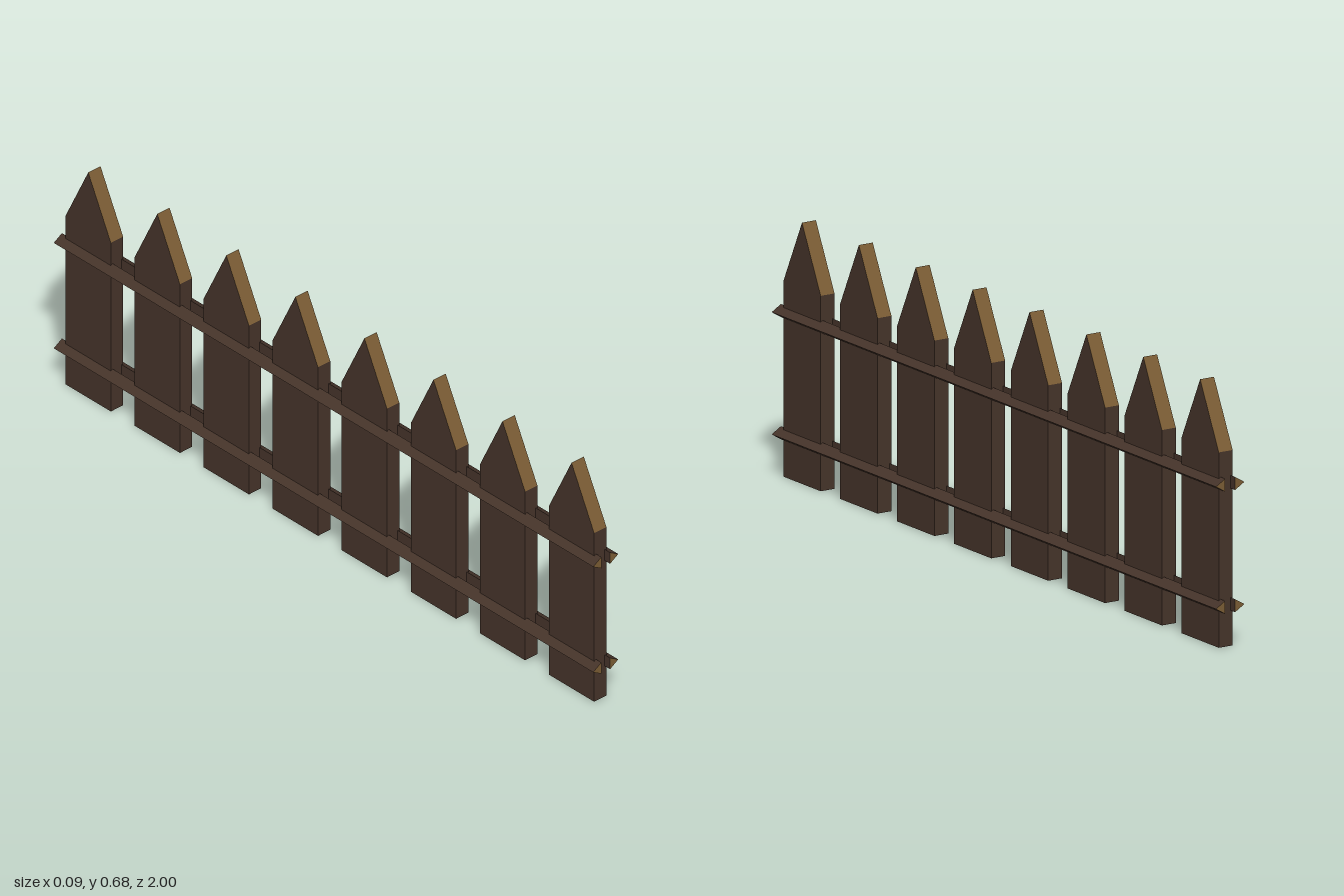
import * as THREE from 'three';

const darkWood = new THREE.MeshStandardMaterial({ color: 0x46342a });
darkWood.name = 'dark wood';
const cutWood = new THREE.MeshStandardMaterial({ color: 0x7a5c34 });
cutWood.name = 'light cut wood';

const COUNT = 8, SPACING = 0.256;
const WIDTH = 0.168, THICK = 0.042, SHOULDER = 0.51, HEIGHT = 0.682;

function prism(points, depth) {
  const shape = new THREE.Shape(points.map(([x, y]) => new THREE.Vector2(x, y)));
  const geometry = new THREE.ExtrudeGeometry(shape, { depth, bevelEnabled: false });
  return geometry.translate(0, 0, -depth / 2);
}

// Pointed plank: the two sloping cuts are lighter than the rest
function plankGeometry() {
  const w = WIDTH / 2;
  const geometry = prism([[-w, 0], [w, 0], [w, SHOULDER], [0, HEIGHT], [-w, SHOULDER]], THICK);
  geometry.rotateY(Math.PI / 2);
  geometry.clearGroups();
  const normal = geometry.attributes.normal;
  for (let i = 0; i < normal.count; i += 3) {
    geometry.addGroup(i, 3, normal.getY(i) > 0.1 ? 1 : 0);
  }
  return geometry;
}

export function createModel() {
  const fence = new THREE.Group();
  fence.name = 'picketFence';

  // Row of planks
  const plank = plankGeometry();
  for (let i = 0; i < COUNT; i++) {
    const mesh = new THREE.Mesh(plank, [darkWood, cutWood]);
    mesh.name = `plank${i + 1}`;
    mesh.position.z = (i - (COUNT - 1) / 2) * SPACING;
    fence.add(mesh);
  }

  // Triangular rails on both faces, with light cut ends
  for (const [side, label] of [[1, 'left'], [-1, 'right']]) {
    const rail = prism([[side * 0.015, -0.017], [side * 0.043, 0], [side * 0.015, 0.017]], 2);
    for (const [y, level] of [[0.109, 'Lower'], [0.428, 'Upper']]) {
      const mesh = new THREE.Mesh(rail, [cutWood, darkWood]);
      mesh.name = `${label}${level}Rail`;
      mesh.position.y = y;
      fence.add(mesh);
    }
  }
  return fence;
}
